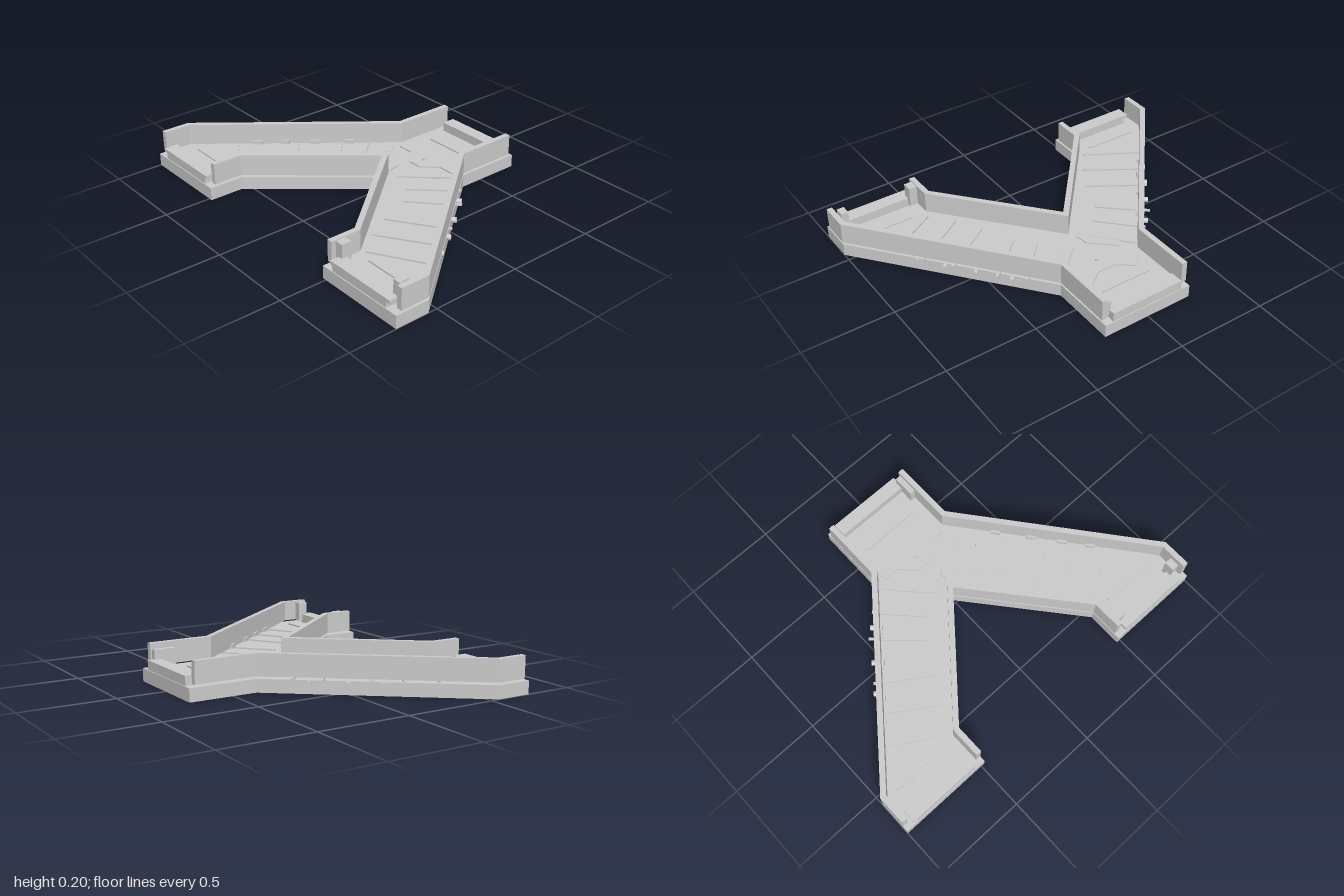
import * as THREE from 'three';

export function createModel() {
  const group = new THREE.Group();
  const mat = new THREE.MeshStandardMaterial({ color: 0xcccccc, flatShading: true });

  const add = (name, geo) => {
    const mesh = new THREE.Mesh(geo, mat);
    mesh.name = name;
    group.add(mesh);
    return mesh;
  };
  // Plan outline of [x, z] points raised from y0 to y1
  const slab = (name, pts, y0, y1) => {
    const shape = new THREE.Shape(pts.map(([x, z]) => new THREE.Vector2(x, z)));
    const geo = new THREE.ExtrudeGeometry(shape, { depth: y1 - y0, bevelEnabled: false });
    geo.rotateX(Math.PI / 2).translate(0, y1, 0);
    return add(name, geo);
  };
  const flip = (pts, s) => pts.map(([x, z]) => [x * s, z]);
  // Half outline on +x joined with its mirror image
  const both = (pts) => [...pts, ...flip(pts, -1).reverse()];
  const box = (name, x0, x1, y0, y1, z0, z1) => {
    const geo = new THREE.BoxGeometry(Math.abs(x1 - x0), y1 - y0, z1 - z0);
    geo.translate((x0 + x1) / 2, (y0 + y1) / 2, (z0 + z1) / 2);
    return add(name, geo);
  };
  // Thin strip lying on the floor between two plan points
  const bar = (name, [ax, az], [bx, bz], width = 0.015, y0 = 0.07, y1 = 0.078) => {
    const mesh = add(name, new THREE.BoxGeometry(Math.hypot(bx - ax, bz - az), y1 - y0, width));
    mesh.position.set((ax + bx) / 2, (y0 + y1) / 2, (az + bz) / 2);
    mesh.rotation.y = -Math.atan2(bz - az, bx - ax);
    return mesh;
  };

  // Forked base
  slab('base', both([
    [0.26, -0.74], [0.26, -0.37], [1, 0.55], [1, 0.74],
    [0.48, 0.74], [0.48, 0.55], [0, -0.02],
  ].filter(([x]) => x > 0)).toSpliced(6, 0, [0, -0.02]), 0, 0.07);

  // Inner V wall, raised slightly above the base
  slab('innerWall', [
    [0, -0.02], [0.48, 0.55], [0.48, 0.71], [0.51, 0.71], [0.51, 0.54], [0, -0.067],
    [-0.51, 0.54], [-0.51, 0.71], [-0.48, 0.71], [-0.48, 0.55],
  ], 0.083, 0.2);

  // Plate at the junction
  slab('junctionPlate', both([
    [0.05, -0.4], [0.14, -0.47], [0.21, -0.4], [0.21, -0.33], [0.12, -0.33], [0.04, -0.25],
  ]), 0.07, 0.077);
  const stud = add('junctionStud', new THREE.CylinderGeometry(0.01, 0.01, 0.012, 10));
  stud.position.set(0, 0.08, -0.32);

  // Back passage: threshold and floor strip
  box('backThreshold', -0.21, 0.21, 0.07, 0.12, -0.735, -0.66);
  bar('backFloorStrip', [-0.17, -0.53], [0.16, -0.53]);
  box('backBracket', 0.2, 0.23, 0.085, 0.17, -0.7, -0.58);

  const strips = [
    [[0.25, -0.31], [0.08, -0.12]], [[0.38, -0.24], [0.18, -0.03]],
    [[0.49, -0.14], [0.27, 0.06]], [[0.63, 0.06], [0.34, 0.25]],
    [[0.71, 0.2], [0.42, 0.39]], [[0.81, 0.34], [0.52, 0.51]], [[0.9, 0.55], [0.59, 0.55]],
  ];
  const dir = new THREE.Vector2(0.74, 0.92).normalize();

  for (const s of [1, -1]) {
    const side = s > 0 ? 'left' : 'right';

    // Outer wall
    slab(side + 'OuterWall', flip([
      [0.26, -0.71], [0.26, -0.37], [1, 0.55], [1, 0.71],
      [0.97, 0.71], [0.97, 0.56], [0.23, -0.36], [0.23, -0.71],
    ], s), 0.083, 0.2);

    // Threshold at the front end, with a wider top tread
    box(side + 'Threshold', s * 0.545, s * 0.925, 0.07, 0.1, 0.655, 0.735);
    box(side + 'ThresholdTread', s * 0.53, s * 0.95, 0.1, 0.12, 0.655, 0.735);

    // Floor strips
    for (const [a, b] of strips) bar(side + 'FloorStrip', ...flip([a, b], s));

    // Chevron plate pointing down the leg
    slab(side + 'ChevronPlate', flip([
      [0.03, -0.1], [0.05, -0.08], [0.12, -0.17], [0.21, -0.24], [0.17, -0.29], [0.04, -0.17],
    ], s), 0.07, 0.076);

    // Pegs on the outside of the base and clips inside the wall
    [[-0.17, 0.025], [-0.02, 0.025], [0.11, 0.02], [0.23, 0.008]].forEach(([z, out]) => {
      const x = 0.26 + (z + 0.37) * (0.74 / 0.92);
      const peg = add(side + 'Peg', new THREE.CylinderGeometry(0.015, 0.015, 0.04, 12));
      const k = out - 0.02;
      peg.position.set(s * (x + dir.y * k), 0.055, z - dir.x * k);
      peg.quaternion.setFromUnitVectors(
        new THREE.Vector3(0, 1, 0), new THREE.Vector3(s * dir.y, 0, -dir.x));
      const cx = x - dir.y * 0.035, cz = z + dir.x * 0.035;
      bar(side + 'WallClip', [s * cx, cz],
        [s * (cx + dir.x * 0.05), cz + dir.y * 0.05], 0.015, 0.083, 0.105);
    });
  }

  // Door posts at the left front end
  box('doorPost', 0.51, 0.555, 0.083, 0.195, 0.63, 0.685);
  box('doorPost', 0.915, 0.955, 0.083, 0.195, 0.63, 0.685);

  return group;
}
